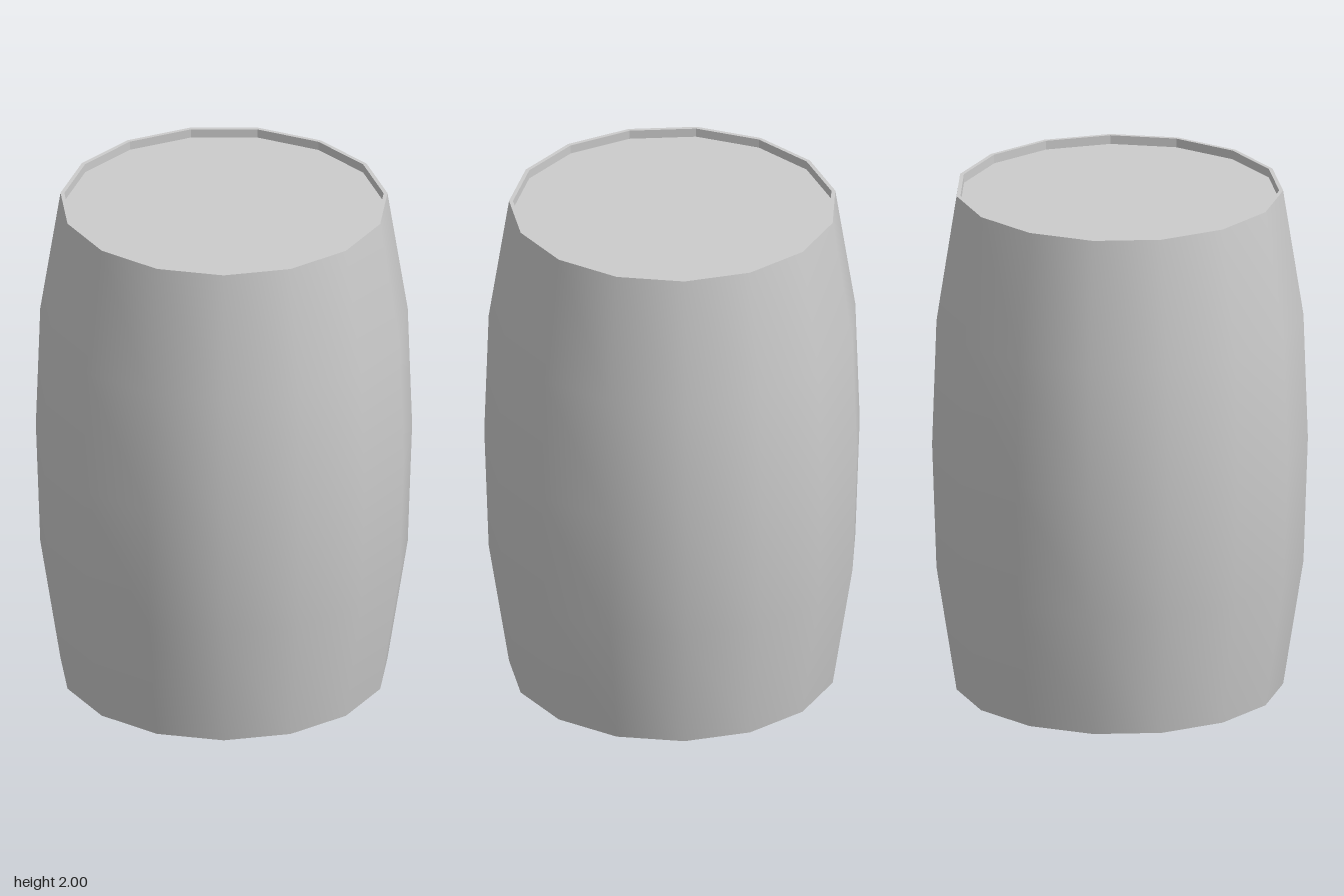
import * as THREE from 'three';

const SIDES = 15;
const RIM = 0.63, INNER = 0.615, DEPTH = 0.035;

// Lathe with one corner pointing to -x
function lathe(profile) {
  const points = profile.map(([r, y]) => new THREE.Vector2(r, y));
  return new THREE.LatheGeometry(points, SIDES, -Math.PI / 2);
}

function part(name, geometry, material) {
  const mesh = new THREE.Mesh(geometry, material);
  mesh.name = name;
  return mesh;
}

// One barrel end: thin rim around a slightly sunken lid
function createEnd(name, material) {
  const end = new THREE.Group();
  end.name = name;
  const rim = lathe([[RIM, 0], [INNER, 0], [INNER, -DEPTH]]).toNonIndexed();
  rim.computeVertexNormals();
  const lid = new THREE.CircleGeometry(INNER, SIDES, Math.PI);
  lid.rotateX(-Math.PI / 2).translate(0, -DEPTH, 0);
  end.add(part('rim', rim, material), part('lid', lid, material));
  return end;
}

export function createModel() {
  const material = new THREE.MeshStandardMaterial({ color: 0xcccccc });
  const barrel = new THREE.Group();
  barrel.name = 'barrel';

  // Bulging smooth wall
  const wall = lathe([[RIM, 0], [0.708, 0.5], [0.725, 1], [0.708, 1.5], [RIM, 2]]);
  barrel.add(part('wall', wall, material));

  // Matching ends, the lower one turned upside down
  const top = createEnd('topEnd', material);
  top.position.y = 2;
  const bottom = createEnd('bottomEnd', material);
  bottom.rotation.x = Math.PI;
  barrel.add(top, bottom);

  // An odd number of sides is lopsided in x, so shift to centre it
  barrel.position.x = 0.008;
  const model = new THREE.Group();
  model.add(barrel);
  return model;
}
